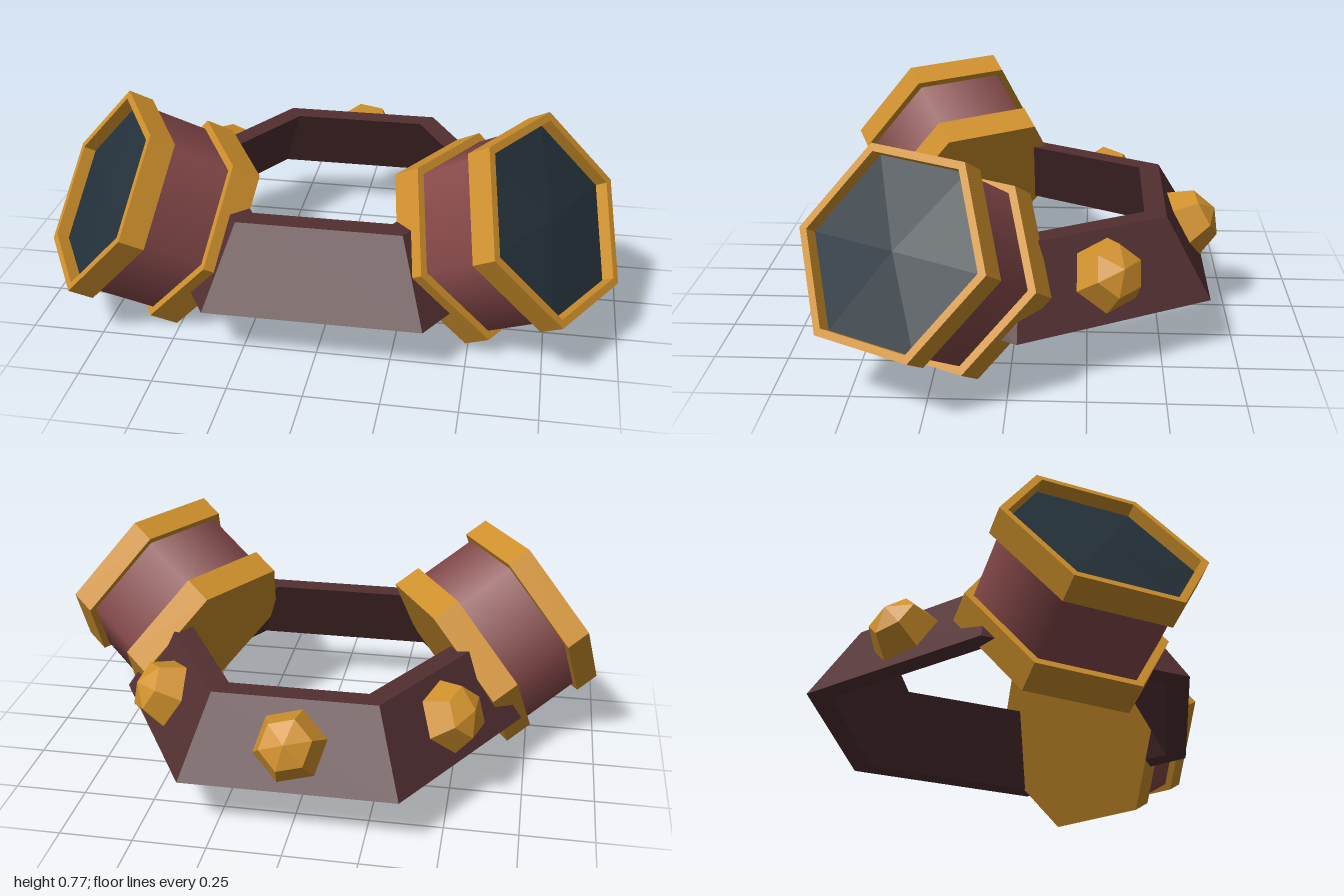
import * as THREE from 'three';

const gold = new THREE.MeshStandardMaterial({ color: 0xd0912c });
gold.name = 'gold';
const darkLeather = new THREE.MeshStandardMaterial({ color: 0x522f31 });
darkLeather.name = 'dark leather';
const redLeather = new THREE.MeshStandardMaterial({ color: 0x8a4b4c });
redLeather.name = 'red leather';
const glass = new THREE.MeshStandardMaterial({ color: 0x25323b });
glass.name = 'dark glass';

const QUARTER = Math.PI / 2;

function flat(geometry) {
  const g = geometry.toNonIndexed();
  g.computeVertexNormals();
  return g;
}

// Six-sided solid swept from a profile of [radius, height], with a corner on +x
function hexLathe(profile) {
  const points = profile.map(([r, y]) => new THREE.Vector2(r, y));
  return flat(new THREE.LatheGeometry(points, 6, QUARTER));
}

function part(parent, name, geometry, material) {
  const mesh = new THREE.Mesh(geometry, material);
  mesh.name = name;
  parent.add(mesh);
  return mesh;
}

// Direction tilted 30 degrees up, at a compass angle from +x towards +z
function tiltedNormal(angle) {
  const c = Math.cos(Math.PI / 6);
  return new THREE.Vector3(c * Math.cos(angle), 0.5, c * Math.sin(angle));
}

// Turn an object so its y axis follows the tilted normal and its x axis stays level
function orient(object, angle, roll) {
  const y = tiltedNormal(angle);
  const x = new THREE.Vector3(Math.sin(angle), 0, -Math.cos(angle));
  const z = new THREE.Vector3().crossVectors(x, y);
  object.quaternion.setFromRotationMatrix(new THREE.Matrix4().makeBasis(x, y, z));
  object.rotateY(roll);
}

// Goggle cup: its local y axis runs outwards, with y = 0 at the front of the rim
function eyepiece(name, angle, position, roll) {
  const group = new THREE.Group();
  group.name = name;
  part(group, 'frontRim', hexLathe([
    [0.328, 0], [0.328, -0.09], [0.357, -0.09], [0.357, 0], [0.328, 0],
  ]), gold);
  part(group, 'backFlange', hexLathe([
    [0, -0.415], [0.358, -0.415], [0.358, -0.31], [0, -0.31],
  ]), gold);
  const barrel = new THREE.CylinderGeometry(0.327, 0.327, 0.27, 6, 1, true, QUARTER);
  barrel.translate(0, -0.185, 0);
  part(group, 'barrel', barrel, redLeather);
  // Shallow pointed lens, recessed in the rim
  part(group, 'lens', hexLathe([
    [0, -0.06], [0.33, -0.06], [0.33, -0.045], [0, -0.02],
  ]), glass);
  orient(group, angle, roll);
  group.position.set(...position);
  return group;
}

export function createModel() {
  const model = new THREE.Group();
  model.name = 'goggles';

  // Six-sided head band, flaring towards the bottom
  const band = part(model, 'headBand', hexLathe([
    [0.47, 0.465], [0.645, 0.2], [0.73, 0.2], [0.555, 0.465], [0.47, 0.465],
  ]), darkLeather);
  band.position.z = -0.03;

  model.add(eyepiece('leftEyepiece', Math.PI / 6, [0.76, 0.523, 0.355], 0));
  model.add(eyepiece('rightEyepiece', Math.PI * 5 / 6, [-0.77, 0.5, 0.362], -0.05));

  // Faceted domed studs on the three rear faces
  const dome = flat(new THREE.SphereGeometry(0.125, 6, 2, 0, Math.PI * 2, 0, QUARTER));
  [-30, -90, -150].forEach((degrees, i) => {
    const angle = THREE.MathUtils.degToRad(degrees);
    const stud = part(model, ['leftStud', 'backStud', 'rightStud'][i], dome, gold);
    orient(stud, angle, 0.25);
    stud.position.set(0.56 * Math.cos(angle), 0.335, 0.56 * Math.sin(angle) - 0.03);
  });

  return model;
}
